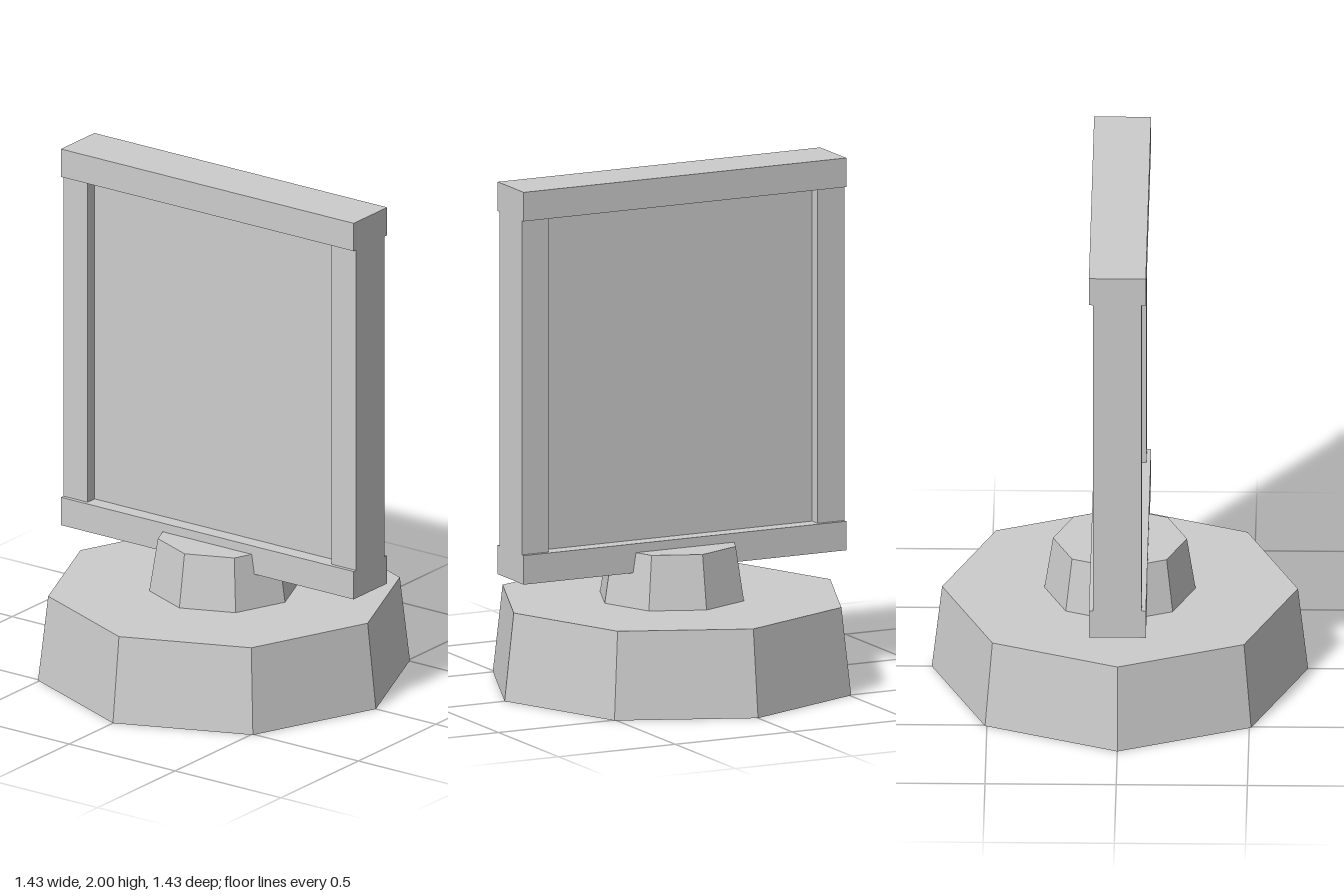
import * as THREE from 'three';

export function createModel() {
  const model = new THREE.Group();
  const grey = new THREE.MeshStandardMaterial({ color: 0xcccccc });
  grey.name = 'light grey';

  const add = (name, geometry, x, y) => {
    const mesh = new THREE.Mesh(geometry, grey);
    mesh.name = name;
    mesh.position.set(x, y, 0);
    model.add(mesh);
  };

  // Tapered eight-sided solid standing on y0, with hard facets
  const octagon = (name, topRadius, bottomRadius, y0, y1) => {
    const geometry = new THREE.CylinderGeometry(topRadius, bottomRadius, y1 - y0, 8).toNonIndexed();
    geometry.computeVertexNormals();
    add(name, geometry, 0, (y0 + y1) / 2);
  };

  // Box between two heights, centred in depth
  const box = (name, width, y0, y1, depth, x = 0) =>
    add(name, new THREE.BoxGeometry(width, y1 - y0, depth), x, (y0 + y1) / 2);

  // Pedestal
  octagon('base', 0.678, 0.717, 0, 0.34);
  octagon('collar', 0.255, 0.288, 0.34, 0.55);

  // Sign frame and recessed panel
  box('bottomRail', 1.382, 0.472, 0.585, 0.217);
  box('topRail', 1.382, 1.887, 2, 0.217);
  for (const side of [-1, 1]) {
    box(side > 0 ? 'leftPost' : 'rightPost', 0.115, 0.585, 1.887, 0.185, side * 0.6335);
  }
  box('panel', 1.152, 0.585, 1.887, 0.094);

  return model;
}
